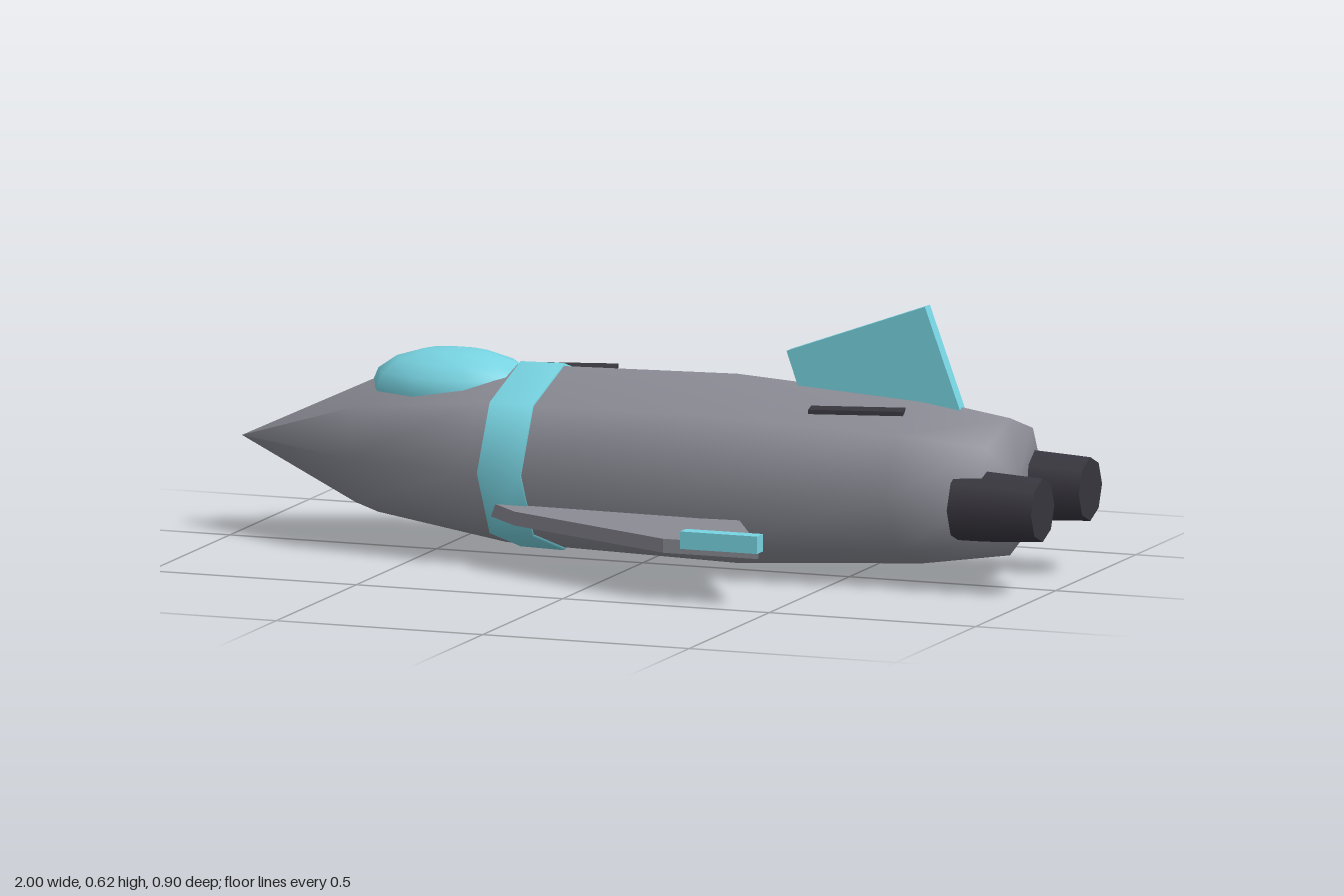
import * as THREE from 'three';

const AXIS_Y = 0.22, AXIS_Z = -0.075, FLATTEN = 0.775;

export function createModel() {
  const group = new THREE.Group();
  const material = (name, color) => {
    const m = new THREE.MeshStandardMaterial({ color });
    m.name = name;
    return m;
  };
  const grey = material('hull grey', 0x8a8b94);
  const cyan = material('accent cyan', 0x78d4e2);
  const dark = material('dark metal', 0x38363e);

  const add = (name, geometry, mat, x = 0, y = 0, z = 0) => {
    const mesh = new THREE.Mesh(geometry, mat);
    mesh.name = name;
    mesh.position.set(x, y, z);
    group.add(mesh);
    return mesh;
  };

  // Eight-sided flattened body of revolution along x, from [radius, x] pairs
  const hull = (profile) => {
    const g = new THREE.LatheGeometry(profile.map(([r, x]) => new THREE.Vector2(r, x)), 8);
    return g.scale(FLATTEN, 1, 1).rotateZ(-Math.PI / 2);
  };

  add('fuselage', hull([
    [0, -1], [0.2, -0.67], [0.264, -0.36], [0.28, 0.2], [0.244, 0.65], [0.203, 0.86], [0, 0.88],
  ]), grey, 0, AXIS_Y, AXIS_Z);
  add('bodyStripe', hull([
    [0.262, -0.325], [0.274, -0.325], [0.277, -0.22], [0.264, -0.22],
  ]), cyan, 0, AXIS_Y, AXIS_Z);

  // Canopy bubble sunk into the nose
  add('canopy', new THREE.SphereGeometry(1, 10, 8).scale(0.205, 0.095, 0.127), cyan, -0.48, 0.36, AXIS_Z);

  // Tapered engine nozzles
  for (const side of [1, -1]) {
    const nozzle = new THREE.CylinderGeometry(0.073, 0.084, 0.2, 8).rotateZ(-Math.PI / 2);
    add(side > 0 ? 'leftEngine' : 'rightEngine', nozzle, dark, 0.897, 0.199, AXIS_Z + side * 0.149);
  }

  // Flat plate cut from an outline and centred on its thickness
  const plate = (points, thickness) => {
    const shape = new THREE.Shape(points.map(([a, b]) => new THREE.Vector2(a, b)));
    return new THREE.ExtrudeGeometry(shape, { depth: thickness, bevelEnabled: false })
      .translate(0, 0, -thickness / 2);
  };
  // Wing outlines are given as [x, z]
  const wing = (points) => plate(points.map(([x, z]) => [x, -z]), 0.032).rotateX(-Math.PI / 2);

  add('frontWing', wing([
    [-0.325, 0.13], [-0.22, 0.235], [0.22, 0.442], [0.452, 0.442], [0.28, 0.13],
  ]), grey, 0, 0.129, 0);

  // Rear wing droops toward its tip, which is the pivot
  const rearWing = add('rearWing', wing([
    [-0.325, 0.17], [-0.22, 0.06], [0.22, 0], [0.452, 0], [0.26, 0.2],
  ]), grey, 0, 0.045, -0.45);
  rearWing.rotation.x = -0.15;

  // Wing tip pods
  for (const z of [0.432, -0.423]) {
    add('tipPod', new THREE.BoxGeometry(0.187, 0.04, 0.037), cyan, 0.358, 0.146, z);
  }

  // Tail fin
  add('tailFin', plate([[0.325, 0.5], [0.36, 0.4], [0.745, 0.39], [0.66, 0.622]], 0.032), cyan, 0, 0, AXIS_Z);

  // Dark hull panels, partly sunk into the skin: x, y, z, length, width, turn
  const panels = [
    [-0.242, 0.4, -0.187, 0.193, 0.12, 0.26],
    [0.04, 0.389, -0.185, 0.14, 0.08, 0.32],
    [0.335, 0.4, -0.155, 0.05, 0.05, 0.3],
    [0.53, 0.39, 0.03, 0.215, 0.055, 0.24],
  ];
  for (const [x, y, z, length, width, turn] of panels) {
    add('hullPanel', new THREE.BoxGeometry(length, 0.01, width), dark, x, y, z).rotation.y = turn;
  }

  return group;
}
